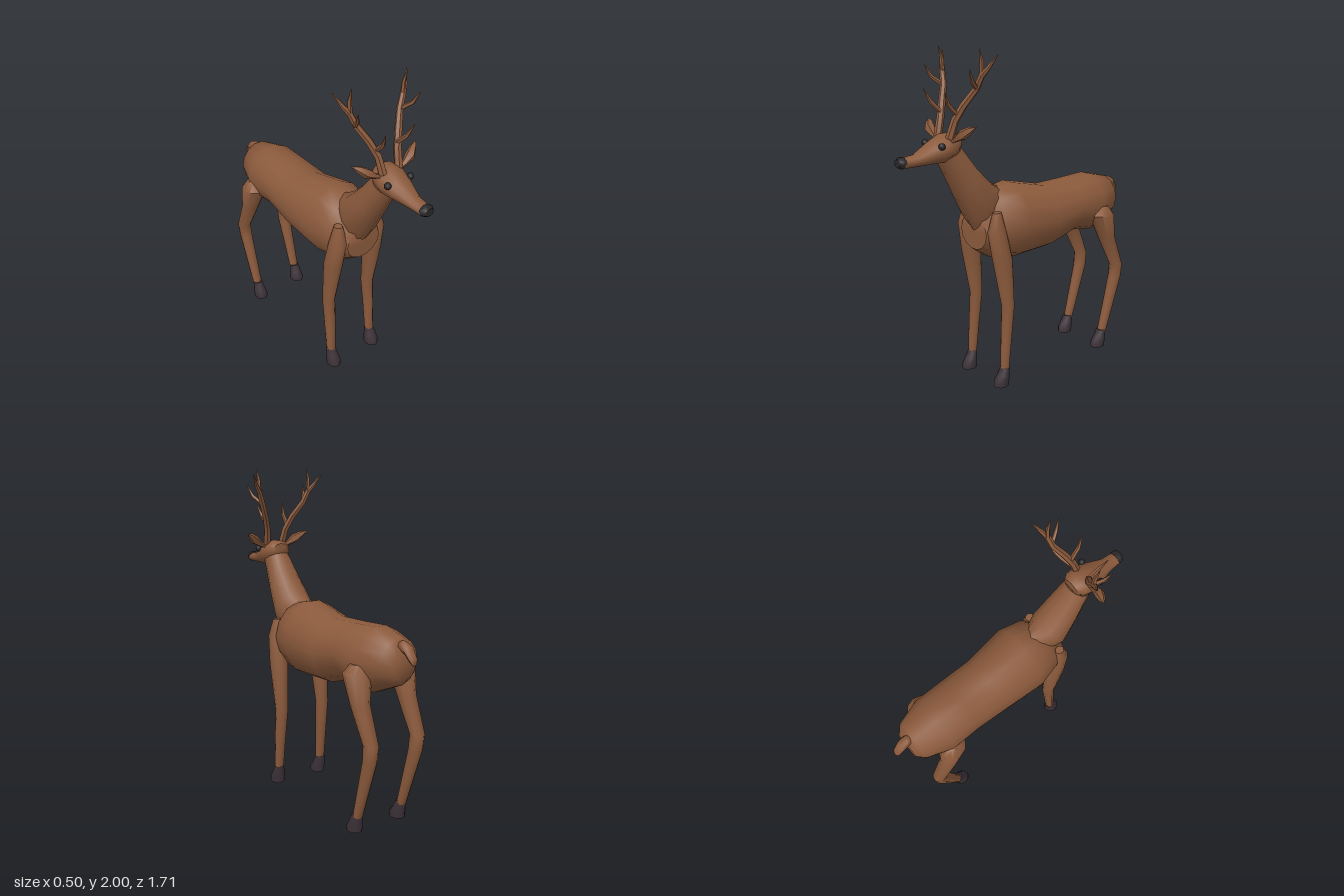
import * as THREE from 'three';
import { toCreasedNormals } from 'three/addons/utils/BufferGeometryUtils.js';

const mat = (name, color) => {
  const m = new THREE.MeshStandardMaterial({ color });
  m.name = name;
  return m;
};

// Skin over rings { c, u, v }: centre and two half axes, with u x v pointing along the loft.
function loft(rings, sides = 12) {
  const pos = [], idx = [];
  rings.forEach(({ c, u, v }) => {
    for (let i = 0; i < sides; i++) {
      const a = (i / sides) * Math.PI * 2;
      const p = c.clone().addScaledVector(u, Math.cos(a)).addScaledVector(v, Math.sin(a));
      pos.push(p.x, p.y, p.z);
    }
  });
  const first = rings.length * sides, last = first + 1, top = (rings.length - 1) * sides;
  [rings[0], rings[rings.length - 1]].forEach(({ c }) => pos.push(c.x, c.y, c.z));
  for (let i = 0; i < sides; i++) {
    const j = (i + 1) % sides;
    for (let r = 0; r < top; r += sides) {
      idx.push(r + i, r + j, r + sides + j, r + i, r + sides + j, r + sides + i);
    }
    idx.push(first, j, i, last, top + i, top + j);
  }
  const g = new THREE.BufferGeometry();
  g.setAttribute('position', new THREE.Float32BufferAttribute(pos, 3));
  g.setIndex(idx);
  return toCreasedNormals(g, 0.95);
}

// Ring from half width, two opposite (y, z) points and an x offset.
const ring = ([hw, y0, z0, y1, z1, x = 0]) => ({
  c: new THREE.Vector3(x, (y0 + y1) / 2, (z0 + z1) / 2),
  u: new THREE.Vector3(hw, 0, 0),
  v: new THREE.Vector3(0, (y1 - y0) / 2, (z1 - z0) / 2),
});

// Tapered branch through [x, y, z, radius] points.
function branch(points, side, sides = 6) {
  const p = points.map(([x, y, z]) => new THREE.Vector3(x * side, y, z));
  return loft(p.map((c, i) => {
    const d = p[Math.min(i + 1, p.length - 1)].clone().sub(p[Math.max(i - 1, 0)]).normalize();
    const u = new THREE.Vector3(0, 0, 1).cross(d).normalize();
    const v = d.clone().cross(u);
    const r = points[i][3];
    return { c, u: u.multiplyScalar(r), v: v.multiplyScalar(r) };
  }), sides);
}

// Limb rings, bottom to top: [y, front z, back z, x, half width]
const limb = (rows, side) =>
  loft(rows.map(([y, zf, zb, x, hw]) => ring([hw, y, zf, y, zb, x * side])), 10);

export function createModel() {
  const model = new THREE.Group();
  const coat = mat('brown coat', 0x8b5a3c);
  const hoofMat = mat('dark hoof', 0x3a3036);
  const black = mat('black nose and eyes', 0x2a2729);
  const add = (name, geometry, material = coat) => {
    const m = new THREE.Mesh(geometry, material);
    m.name = name;
    model.add(m);
    return m;
  };

  add('body', loft([
    [0.08, 0.9, -0.765, 1.07, -0.765],
    [0.13, 0.86, -0.72, 1.13, -0.72],
    [0.185, 0.79, -0.56, 1.17, -0.56],
    [0.185, 0.82, -0.37, 1.16, -0.37],
    [0.19, 0.755, -0.16, 1.155, -0.16],
    [0.215, 0.745, 0.1, 1.215, 0.1],
    [0.18, 0.775, 0.27, 1.19, 0.23],
    [0.12, 0.84, 0.36, 1.05, 0.36],
  ].map(ring), 14));

  add('neck', loft([
    [0.09, 0.93, 0.345, 1.18, 0.16],
    [0.125, 1.03, 0.405, 1.24, 0.26],
    [0.108, 1.2, 0.49, 1.34, 0.36],
    [0.082, 1.4, 0.595, 1.47, 0.46],
  ].map(ring)));

  add('head', loft([
    [0.055, 1.45, 0.47, 1.53, 0.47],
    [0.085, 1.41, 0.51, 1.548, 0.5],
    [0.093, 1.385, 0.58, 1.548, 0.56],
    [0.075, 1.385, 0.65, 1.51, 0.64],
    [0.046, 1.385, 0.75, 1.455, 0.74],
    [0.04, 1.385, 0.83, 1.44, 0.83],
  ].map(ring)));

  add('nose', loft([
    [0.04, 1.388, 0.815, 1.447, 0.815],
    [0.044, 1.384, 0.835, 1.45, 0.835],
    [0.028, 1.394, 0.855, 1.44, 0.855],
  ].map(ring), 10), black);

  add('tail', loft([
    [0.028, 1.11, -0.72, 1.04, -0.73],
    [0.032, 1.122, -0.75, 1.06, -0.755],
    [0.034, 1.1, -0.805, 1.05, -0.785],
    [0.026, 1.04, -0.85, 1.015, -0.82],
    [0.014, 1.01, -0.852, 0.998, -0.84],
  ].map(ring), 8));

  for (const side of [1, -1]) {
    const label = side > 0 ? 'left' : 'right';

    // Legs
    add(label + 'FrontLeg', limb([
      [0.09, 0.29, 0.24, 0.16, 0.03],
      [0.3, 0.283, 0.215, 0.158, 0.034],
      [0.5, 0.272, 0.192, 0.155, 0.04],
      [0.8, 0.333, 0.203, 0.15, 0.054],
      [0.97, 0.36, 0.24, 0.142, 0.05],
      [1.08, 0.325, 0.27, 0.14, 0.025],
    ], side));
    add(label + 'BackLeg', limb([
      [0.09, -0.555, -0.61, 0.16, 0.03],
      [0.46, -0.645, -0.735, 0.163, 0.04],
      [0.55, -0.655, -0.742, 0.165, 0.043],
      [0.76, -0.54, -0.655, 0.165, 0.056],
      [0.92, -0.47, -0.64, 0.155, 0.08],
      [0.975, -0.515, -0.6, 0.145, 0.05],
    ], side));

    // Hooves
    for (const [name, z] of [['FrontHoof', 0], ['BackHoof', -0.84]]) {
      add(label + name, limb([
        [0, 0.34 + z, 0.24 + z, 0.158, 0.043],
        [0.03, 0.338 + z, 0.238 + z, 0.158, 0.044],
        [0.065, 0.313 + z, 0.235 + z, 0.16, 0.038],
        [0.112, 0.288 + z, 0.235 + z, 0.16, 0.032],
      ], side), hoofMat);
    }

    // Eyes and ears
    add(label + 'Eye', new THREE.SphereGeometry(0.02, 8, 6), black)
      .position.set(0.08 * side, 1.49, 0.622);
    add(label + 'Ear', branch([
      [0.07, 1.51, 0.55, 0.012],
      [0.105, 1.525, 0.548, 0.017],
      [0.15, 1.553, 0.54, 0.03],
      [0.19, 1.582, 0.518, 0.02],
      [0.223, 1.6, 0.5, 0.002],
    ], side, 5));

    // Antler beam and tines
    add(label + 'AntlerBeam', branch([
      [0.055, 1.52, 0.555, 0.024],
      [0.068, 1.62, 0.525, 0.022],
      [0.1, 1.7, 0.49, 0.021],
      [0.15, 1.79, 0.44, 0.019],
      [0.18, 1.86, 0.425, 0.017],
      [0.21, 1.9, 0.405, 0.013],
      [0.25, 1.97, 0.37, 0.002],
    ], side));
    [
      [[0.073, 1.65, 0.515, 0.014], [0.082, 1.71, 0.575, 0.012], [0.1, 1.785, 0.61, 0.002]],
      [[0.155, 1.79, 0.44, 0.014], [0.188, 1.835, 0.495, 0.012], [0.208, 1.9, 0.525, 0.002]],
      [[0.178, 1.85, 0.425, 0.014], [0.182, 1.93, 0.425, 0.012], [0.185, 2, 0.443, 0.002]],
    ].forEach((tine, i) => add(label + 'AntlerTine' + (i + 1), branch(tine, side, 5)));
  }
  return model;
}
